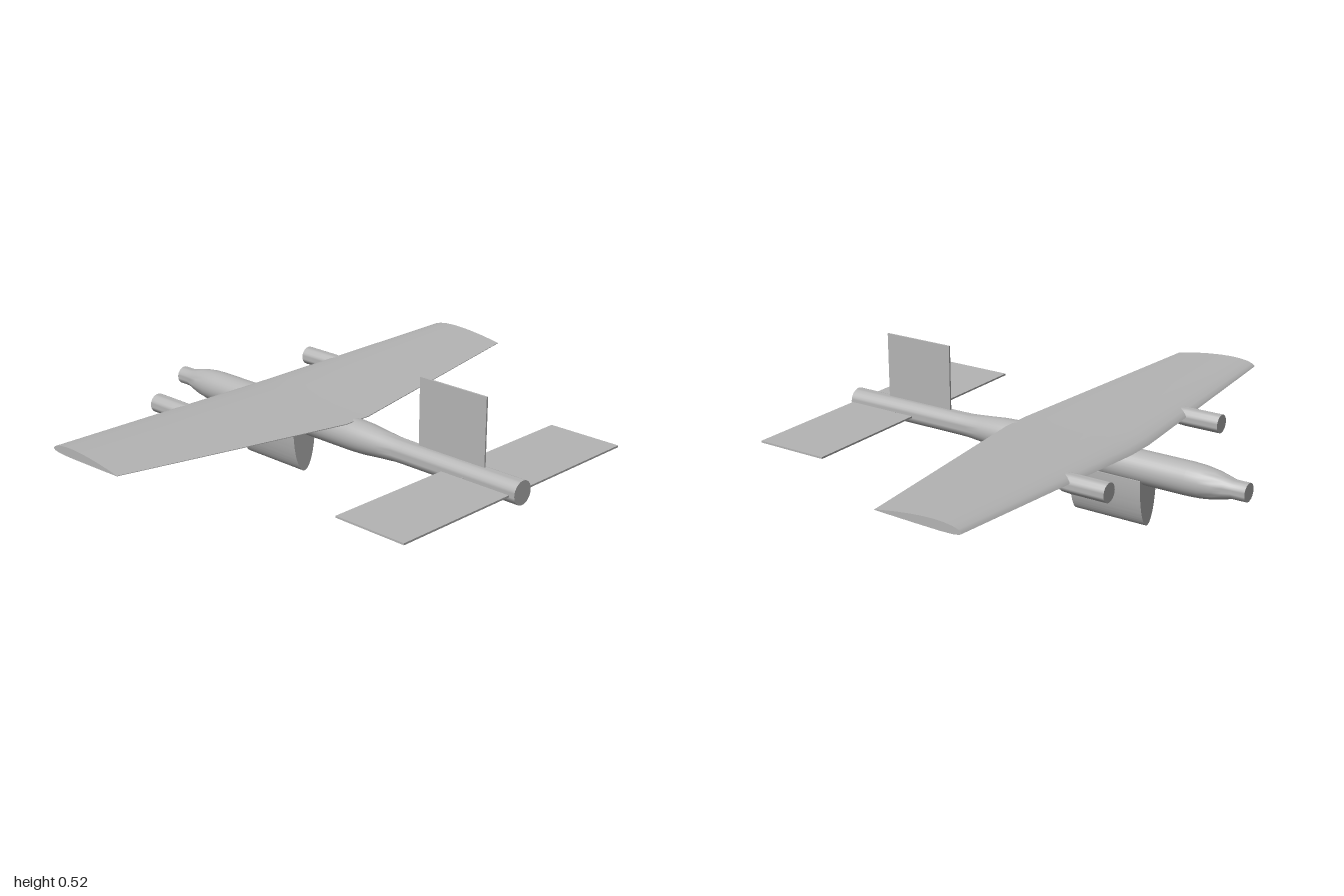
import * as THREE from 'three';
import { toCreasedNormals } from 'three/addons/utils/BufferGeometryUtils.js';

const AXIS_Y = 0.2225;

// Closed body of revolution along x, from [x, radius] pairs
function turned(profile) {
  const pts = profile.map(([x, r]) => new THREE.Vector2(r, x));
  return toCreasedNormals(new THREE.LatheGeometry(pts, 32).rotateZ(-Math.PI / 2), 0.6);
}

// Airfoil loop: chord fraction, height fraction (over the top, then back underneath)
const AIRFOIL = [
  [0, 0.3], [0.012, 0.47], [0.04, 0.64], [0.1, 0.82], [0.2, 0.96], [0.32, 1], [0.46, 0.95],
  [0.6, 0.83], [0.75, 0.65], [0.9, 0.42], [1, 0.24], [1, 0.19],
  [0.8, 0.13], [0.5, 0.05], [0.25, 0], [0.1, 0.03], [0.03, 0.13],
];

// Wing lofted through stations given as { z, le, te, low, high }
function wingGeometry(stations) {
  const n = AIRFOIL.length;
  const pos = [];
  const index = [];
  for (const s of stations) {
    for (const [u, v] of AIRFOIL) {
      pos.push(s.le + u * (s.te - s.le), s.low + v * (s.high - s.low), s.z);
    }
  }
  for (let i = 0; i < stations.length - 1; i++) {
    for (let j = 0; j < n; j++) {
      const a = i * n + j, b = i * n + ((j + 1) % n);
      index.push(a, a + n, b, b, a + n, b + n);
    }
  }
  const end = (stations.length - 1) * n;
  for (let j = 1; j < n - 1; j++) {
    index.push(0, j, j + 1, end, end + j + 1, end + j);
  }
  const g = new THREE.BufferGeometry();
  g.setAttribute('position', new THREE.Float32BufferAttribute(pos, 3));
  g.setIndex(index);
  return toCreasedNormals(g, 0.6);
}

export function createModel() {
  const model = new THREE.Group();
  model.name = 'aircraft';
  const grey = new THREE.MeshStandardMaterial({ color: 0xb4b4b4 });
  grey.name = 'plain grey';

  const add = (name, geometry, x = 0, y = 0, z = 0) => {
    const mesh = new THREE.Mesh(geometry, grey);
    mesh.name = name;
    mesh.position.set(x, y, z);
    model.add(mesh);
  };

  // Fuselage: stub nose, swelling body, slim tail boom
  add('fuselage', turned([
    [-0.875, 0], [-0.875, 0.035], [-0.82, 0.035], [-0.79, 0.043], [-0.75, 0.053], [-0.7, 0.06],
    [-0.65, 0.0625], [0.1, 0.0625], [0.16, 0.06], [0.24, 0.052], [0.31, 0.046], [0.36, 0.045],
    [0.875, 0.045], [0.875, 0],
  ]), 0, AXIS_Y);

  // Tapered wing with slight dihedral
  const root = { le: -0.44, te: 0.105, low: 0.268, high: 0.325 };
  const tip = { le: -0.39, te: -0.04, low: 0.308, high: 0.343 };
  add('wing', wingGeometry([
    { z: -1, ...tip }, { z: -0.06, ...root }, { z: 0.06, ...root }, { z: 1, ...tip },
  ]));

  // Belly pod: half ellipse drawn out along the body
  const half = new THREE.Shape();
  half.absellipse(0, 0, 0.058, 0.19, Math.PI, Math.PI * 2, false);
  const pod = new THREE.ExtrudeGeometry(half, { depth: 0.3, bevelEnabled: false, curveSegments: 32 });
  add('bellyPod', toCreasedNormals(pod.rotateY(Math.PI / 2), 0.6), -0.475, 0.19);

  // Mirrored engine nacelles, tailplanes and their pivot rods
  const nacelle = turned([
    [-0.555, 0], [-0.555, 0.036], [-0.41, 0.036], [-0.38, 0.034], [-0.35, 0.024], [-0.33, 0.01], [-0.325, 0],
  ]);
  for (const [side, s] of [['left', 1], ['right', -1]]) {
    add(side + 'Nacelle', nacelle, 0, 0.286, s * 0.4);
    add(side + 'Tailplane', new THREE.BoxGeometry(0.3, 0.007, 0.525), 0.71, AXIS_Y, s * 0.3175);
    add(side + 'TailPivot', new THREE.CylinderGeometry(0.004, 0.004, 0.03, 10).rotateX(Math.PI / 2),
      0.65, AXIS_Y, s * 0.05);
  }

  // Upright fin
  add('fin', new THREE.BoxGeometry(0.3, 0.26, 0.007), 0.56, 0.395, 0);

  return model;
}
